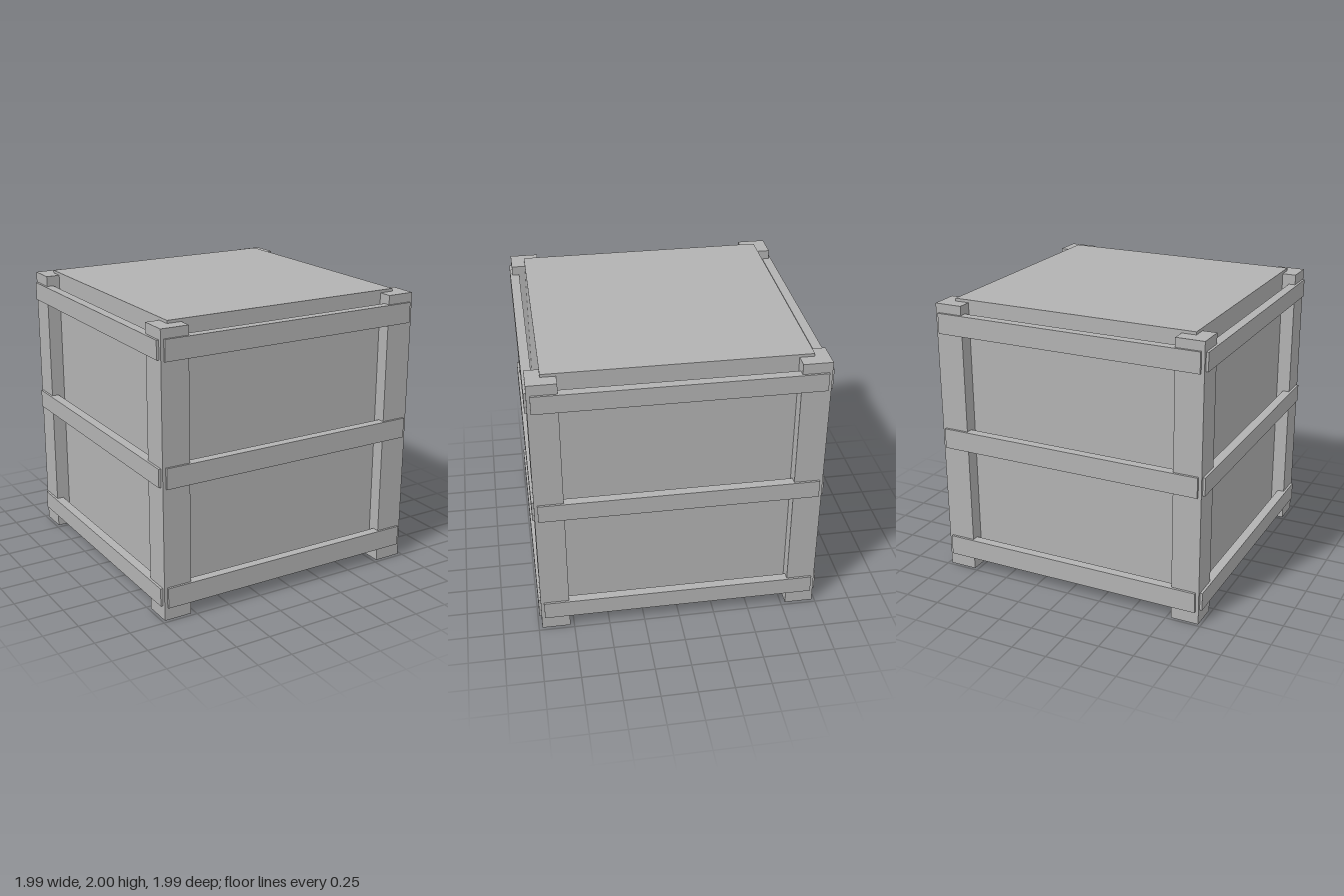
import * as THREE from 'three';

export function createModel() {
  const crate = new THREE.Group();
  crate.name = 'crate';
  const grey = new THREE.MeshStandardMaterial({ color: 0xb2b2b2 });
  grey.name = 'plain grey';

  // Box given by its low and high corners
  function block(name, [x0, y0, z0], [x1, y1, z1]) {
    const mesh = new THREE.Mesh(new THREE.BoxGeometry(x1 - x0, y1 - y0, z1 - z0), grey);
    mesh.position.set((x0 + x1) / 2, (y0 + y1) / 2, (z0 + z1) / 2);
    mesh.name = name;
    crate.add(mesh);
  }

  // Closed inner box
  block('body', [-0.882, 0.025, -0.882], [0.88, 2, 0.88]);

  // Corner posts, which also serve as feet
  const spans = [[-0.98, -0.782], [0.778, 0.976]];
  for (const [x0, x1] of spans) {
    for (const [z0, z1] of spans) block('cornerPost', [x0, 0, z0], [x1, 1.98, z1]);
  }

  // Three rows of slats on each side; the side slats are slightly narrower
  for (const y of [0.163, 1.003, 1.843]) {
    for (const [a, b] of [[-0.997, -0.932], [0.926, 0.991]]) {
      const name = a > 0 ? 'front' : 'back';
      const side = a > 0 ? 'left' : 'right';
      block(name + 'Slat', [-0.958, y - 0.072, a], [0.953, y + 0.072, b]);
      block(side + 'Slat', [a, y - 0.064, -0.958], [b, y + 0.064, 0.953]);
    }
  }
  return crate;
}
